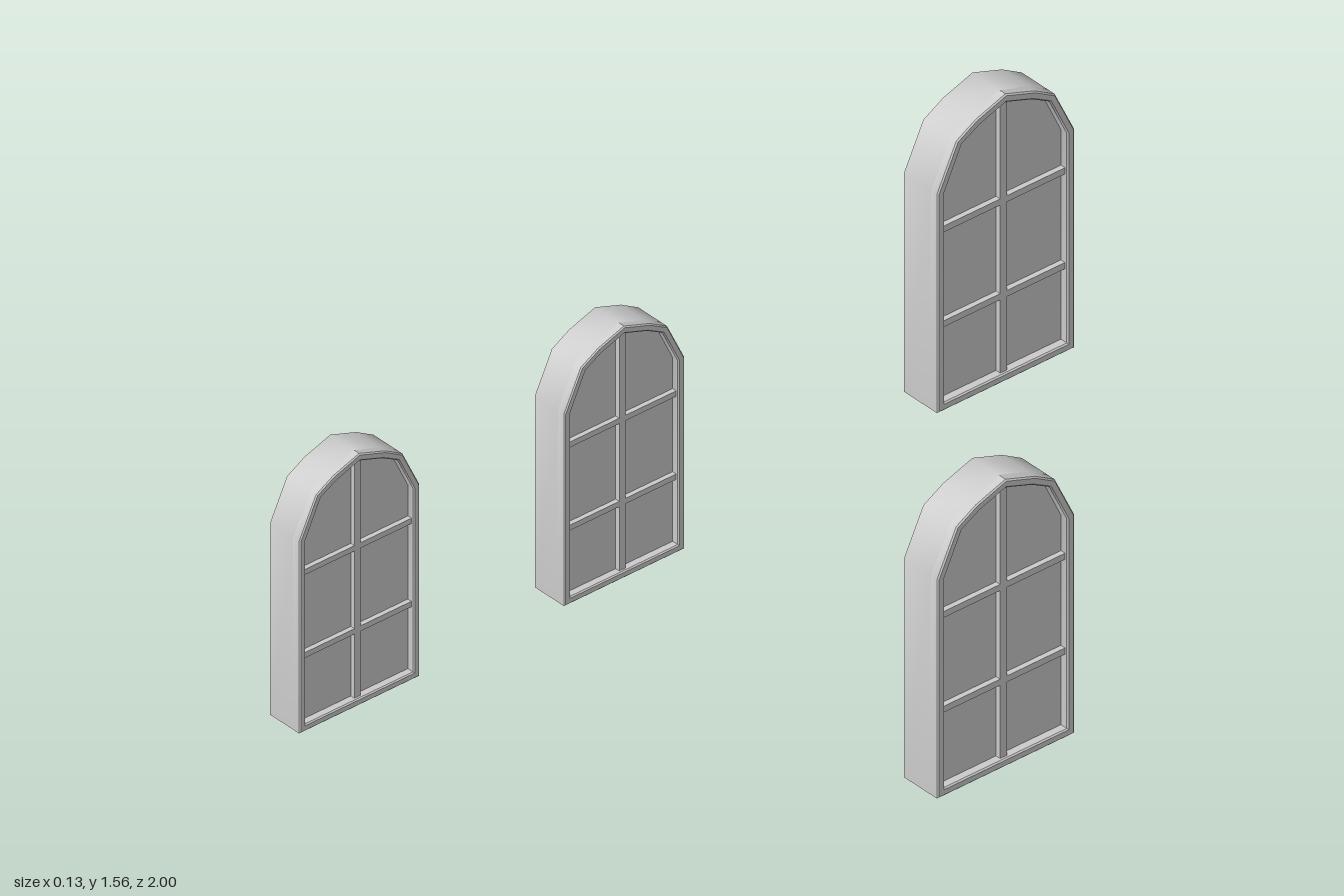
import * as THREE from 'three';
import { toCreasedNormals } from 'three/addons/utils/BufferGeometryUtils.js';

const DEPTH = 0.1, RECESS = 0.02, BORDER = 0.018, BAR = 0.018;
const material = new THREE.MeshStandardMaterial({ color: 0xcccccc });

// Pointed-arch outline, moved inward by i
function archPoints(i) {
  const half = [
    [0.174 - i, i],
    [0.174 - i, 0.508 - 0.2 * i],
    [0.125 - 0.75 * i, 0.61 - 0.65 * i],
    [0.075 - 0.45 * i, 0.639 - 0.9 * i],
  ];
  const left = half.map(([x, y]) => [-x, y]).reverse();
  return [...half, [0, 0.665 - 1.05 * i], ...left].map(([x, y]) => new THREE.Vector2(x, y));
}

function addMesh(group, name, geometry, x = 0, y = 0, z = 0) {
  const mesh = new THREE.Mesh(geometry, material);
  mesh.name = name;
  mesh.position.set(x, y, z);
  group.add(mesh);
}

// One window, facing +z, standing on y = 0, with its front at z = 0
function makeWindow(name) {
  const g = new THREE.Group();
  g.name = name;

  // Solid block whose front is the recessed pane
  const block = new THREE.ExtrudeGeometry(new THREE.Shape(archPoints(0)), {
    depth: DEPTH - RECESS, bevelEnabled: false,
  });
  addMesh(g, 'paneBlock', toCreasedNormals(block, 0.7), 0, 0, -DEPTH);

  // Raised border with a slightly softened front edge
  const ring = new THREE.Shape(archPoints(0));
  ring.holes.push(new THREE.Path(archPoints(BORDER).reverse()));
  const bevel = 0.003;
  const border = new THREE.ExtrudeGeometry(ring, {
    depth: RECESS, bevelEnabled: true, bevelThickness: bevel,
    bevelSize: bevel, bevelOffset: -bevel, bevelSegments: 1,
  });
  addMesh(g, 'archFrame', toCreasedNormals(border, 0.6), 0, 0, -RECESS - bevel);

  // Glazing bars, set a little behind the border
  const barDepth = 0.012, barZ = -RECESS + barDepth / 2;
  addMesh(g, 'verticalBar', new THREE.BoxGeometry(BAR, 0.64, barDepth), 0, 0.33, barZ);
  for (const y of [0.195, 0.415]) {
    addMesh(g, 'horizontalBar', new THREE.BoxGeometry(0.32, BAR * 0.8, barDepth), 0, y, barZ);
  }
  g.rotation.y = Math.PI / 2;
  return g;
}

export function createModel() {
  const model = new THREE.Group();
  model.name = 'archedWindows';
  // name, front x, base y, centre z, scale
  const placements = [
    ['lowerLargeWindow', 0.03, 0, -0.826, 1],
    ['upperLargeWindow', 0.03, 0.895, -0.826, 1],
    ['middleSmallWindow', 0.065, 0.895, 0.174, 0.877],
    ['frontSmallWindow', 0.065, 0.895, 0.847, 0.877],
  ];
  for (const [name, x, y, z, s] of placements) {
    const w = makeWindow(name);
    w.position.set(x, y, z);
    w.scale.setScalar(s);
    model.add(w);
  }
  return model;
}
